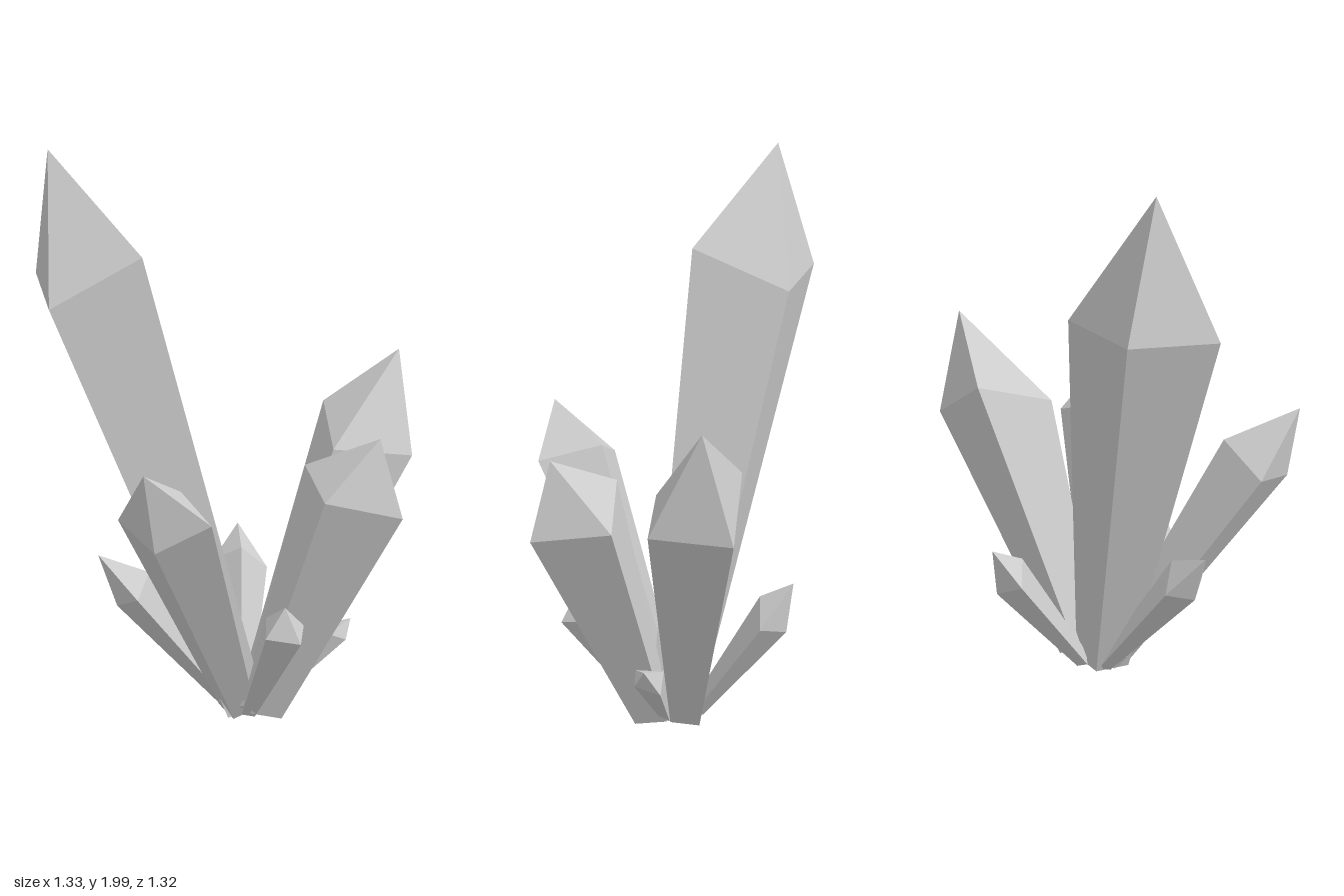
import * as THREE from 'three';

const material = new THREE.MeshStandardMaterial({ color: 0xcccccc, flatShading: true });

// Four-sided crystal: the foot is a shrunken copy of the shoulder ring.
// Shoulder corners run left, front, right, back (counter-clockwise from above).
function crystal(name, tip, shoulder, foot, taper) {
  const peak = new THREE.Vector3(...tip);
  const ring = shoulder.map((p) => new THREE.Vector3(...p));
  const mean = new THREE.Vector3();
  ring.forEach((p) => mean.addScaledVector(p, 1 / ring.length));
  const centre = new THREE.Vector3(...foot);
  const base = ring.map((p) => p.clone().sub(mean).multiplyScalar(taper).add(centre));

  const corners = [];
  const n = ring.length;
  for (let i = 0; i < n; i++) {
    const j = (i + 1) % n;
    corners.push(ring[i], ring[j], peak); // point
    corners.push(base[i], base[j], ring[j], base[i], ring[j], ring[i]); // shaft
    corners.push(base[j], base[i], centre); // underside
  }
  const geometry = new THREE.BufferGeometry().setFromPoints(corners);
  geometry.computeVertexNormals();
  const mesh = new THREE.Mesh(geometry, material);
  mesh.name = name;
  return mesh;
}

export function createModel() {
  const group = new THREE.Group();
  group.name = 'crystalCluster';

  // Large crystals
  group.add(
    crystal('tallCrystal', [-0.34, 2, -0.53],
      [[-0.51, 1.49, -0.36], [-0.275, 1.66, -0.15], [-0.02, 1.53, -0.4], [-0.29, 1.555, -0.66]],
      [0, 0.04, 0.06], 0.4),
    crystal('leftCrystal', [0.61, 1.27, 0.268],
      [[0.255, 0.963, 0.255], [0.51, 0.918, 0.41], [0.665, 0.9, 0.183], [0.46, 1.07, 0.043]],
      [0.09, 0.06, 0.06], 0.38),
    crystal('frontCrystal', [0.106, 1.085, 0.57],
      [[-0.092, 0.89, 0.497], [0.125, 0.82, 0.656], [0.277, 0.857, 0.43], [0.043, 0.96, 0.3]],
      [0, 0.045, 0.15], 0.42),
    crystal('rightCrystal', [-0.667, 1.055, 0.225],
      [[-0.63, 0.79, 0.235], [-0.502, 0.88, 0.365], [-0.415, 0.935, 0.15], [-0.58, 0.85, 0.022]],
      [-0.04, 0.04, 0.07], 0.42),
  );

  // Small crystals
  group.add(
    crystal('smallFrontRightCrystal', [-0.14, 0.51, 0.37],
      [[-0.205, 0.407, 0.34], [-0.14, 0.395, 0.44], [-0.04, 0.42, 0.37], [-0.11, 0.44, 0.26]],
      [-0.05, 0.04, 0.13], 0.4),
    crystal('smallFrontLeftCrystal', [0.285, 0.345, 0.32],
      [[0.18, 0.31, 0.3], [0.24, 0.28, 0.335], [0.29, 0.25, 0.26], [0.235, 0.31, 0.22]],
      [0.06, 0.05, 0.13], 0.4),
    crystal('smallBackLeftCrystal', [0.315, 0.58, -0.243],
      [[0.2, 0.46, -0.264], [0.235, 0.52, -0.155], [0.325, 0.433, -0.107], [0.31, 0.4, -0.22]],
      [0.06, 0.05, 0], 0.4),
    crystal('smallBackRightCrystal', [-0.445, 0.645, -0.213],
      [[-0.4, 0.46, -0.17], [-0.4, 0.5, -0.07], [-0.3, 0.57, -0.11], [-0.31, 0.495, -0.23]],
      [-0.03, 0.05, 0], 0.4),
  );

  // Tiny shards around the foot
  for (let i = 0; i < 6; i++) {
    const a = (i / 6) * Math.PI * 2 + 0.4;
    const dx = Math.cos(a), dz = Math.sin(a);
    const x = dx * 0.09, z = 0.07 + dz * 0.09;
    const r = 0.018;
    group.add(crystal('shard', [x + dx * 0.02, 0.1, z + dz * 0.02],
      [[x - r, 0.07, z], [x, 0.07, z + r], [x + r, 0.07, z], [x, 0.07, z - r]],
      [x - dx * 0.04, 0.03, z - dz * 0.04], 0.7));
  }
  return group;
}
